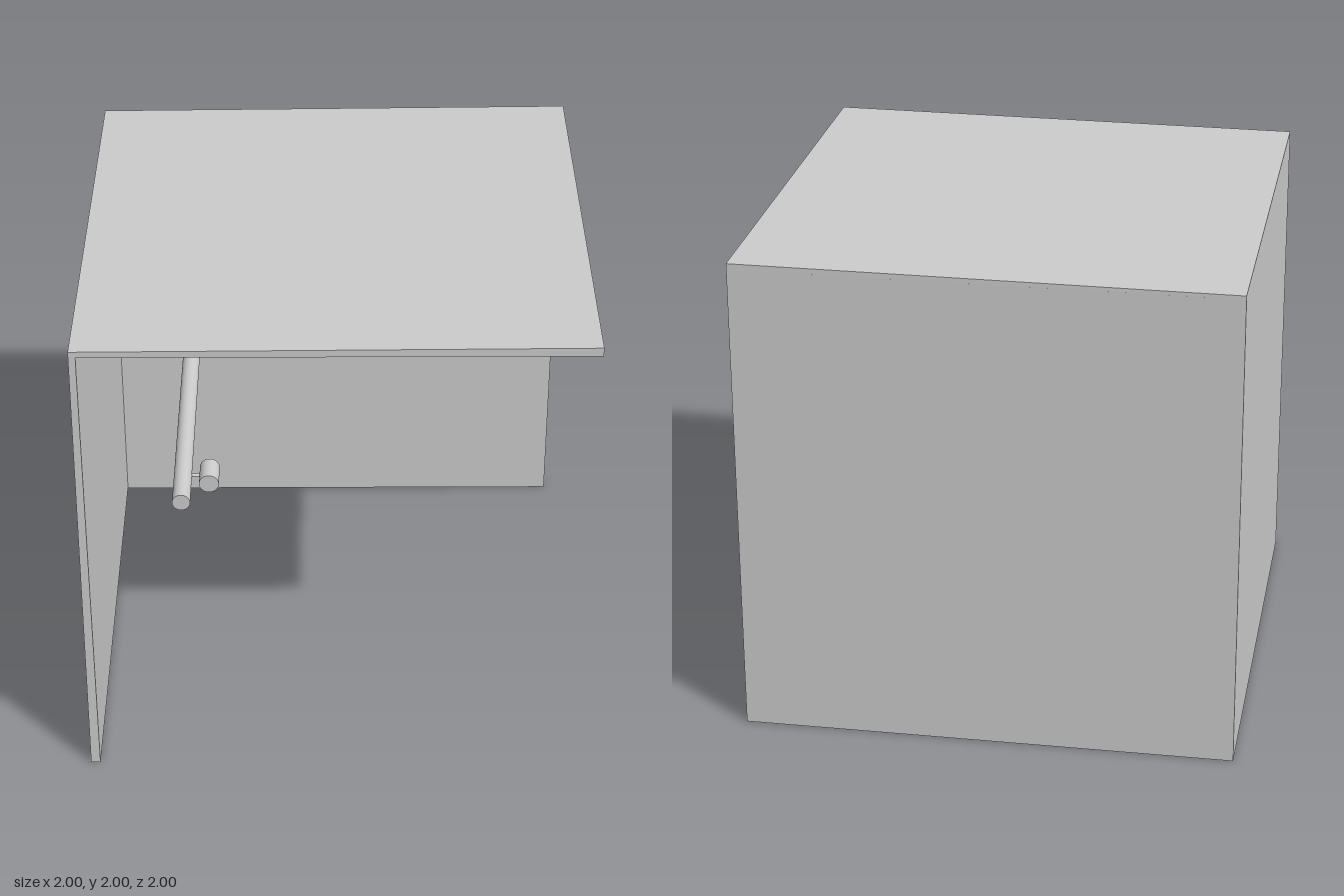
import * as THREE from 'three';

const material = new THREE.MeshStandardMaterial({ color: 0xcccccc });

function add(group, name, geometry) {
  const mesh = new THREE.Mesh(geometry, material);
  mesh.name = name;
  group.add(mesh);
  return mesh;
}

// Box given by its two opposite corners
function boxBetween([x0, y0, z0], [x1, y1, z1]) {
  return new THREE.BoxGeometry(x1 - x0, y1 - y0, z1 - z0)
    .translate((x0 + x1) / 2, (y0 + y1) / 2, (z0 + z1) / 2);
}

// Thins a panel slightly towards the corner where all three panels meet
function taper(geometry) {
  const slope = 0.0055;
  const p = geometry.attributes.position;
  for (let i = 0; i < p.count; i++) {
    const x = p.getX(i), y = p.getY(i), z = p.getZ(i);
    if (x < -0.99) p.setX(i, x + slope * (y + 1 - z));
    if (y > 1.99) p.setY(i, y - slope * (2 - x - z));
    if (z < -0.99) p.setZ(i, z + slope * (y + 1 - x));
  }
  geometry.computeVertexNormals();
  return geometry;
}

// Cylinder lying along z
function rod(radius, x, y, z0, z1) {
  return new THREE.CylinderGeometry(radius, radius, z1 - z0, 40)
    .rotateX(Math.PI / 2)
    .translate(x, y, (z0 + z1) / 2);
}

export function createModel() {
  const model = new THREE.Group();
  model.name = 'cornerEnclosure';
  const inner = 0.962, ceiling = 1.964;

  // Ceiling, side wall and back wall
  add(model, 'topPanel', taper(boxBetween([-1, ceiling, -1], [1, 2, 1])));
  add(model, 'sidePanel', taper(boxBetween([-1, 0, -1], [-inner, ceiling, 1])));
  add(model, 'backPanel', taper(boxBetween([-inner, 0, -1], [1, ceiling, -inner])));

  // Board held off the back wall by four square arms
  const board = new THREE.Group();
  board.name = 'mountedBoard';
  model.add(board);
  add(board, 'boardPlate', boxBetween([-0.33, 1.304, -0.492], [0.722, 1.96, -0.437]));
  for (const x of [-0.275, 0.667]) {
    for (const y of [1.368, 1.893]) {
      add(board, 'boardArm', boxBetween([x - 0.03, y - 0.032, -inner], [x + 0.03, y + 0.032, -0.492]));
    }
  }

  // Long tube with a short parallel tube joined by a thin pin
  const tubes = new THREE.Group();
  tubes.name = 'tubeAssembly';
  model.add(tubes);
  add(tubes, 'longTube', rod(0.038, -0.637, 0.782, -0.91, 0.262));
  add(tubes, 'shortTube', rod(0.042, -0.525, 0.779, -0.005, 0.122));
  const pin = new THREE.CylinderGeometry(0.008, 0.008, 0.06, 16).rotateZ(Math.PI / 2);
  add(tubes, 'connectingPin', pin).position.set(-0.583, 0.781, 0.06);

  return model;
}
